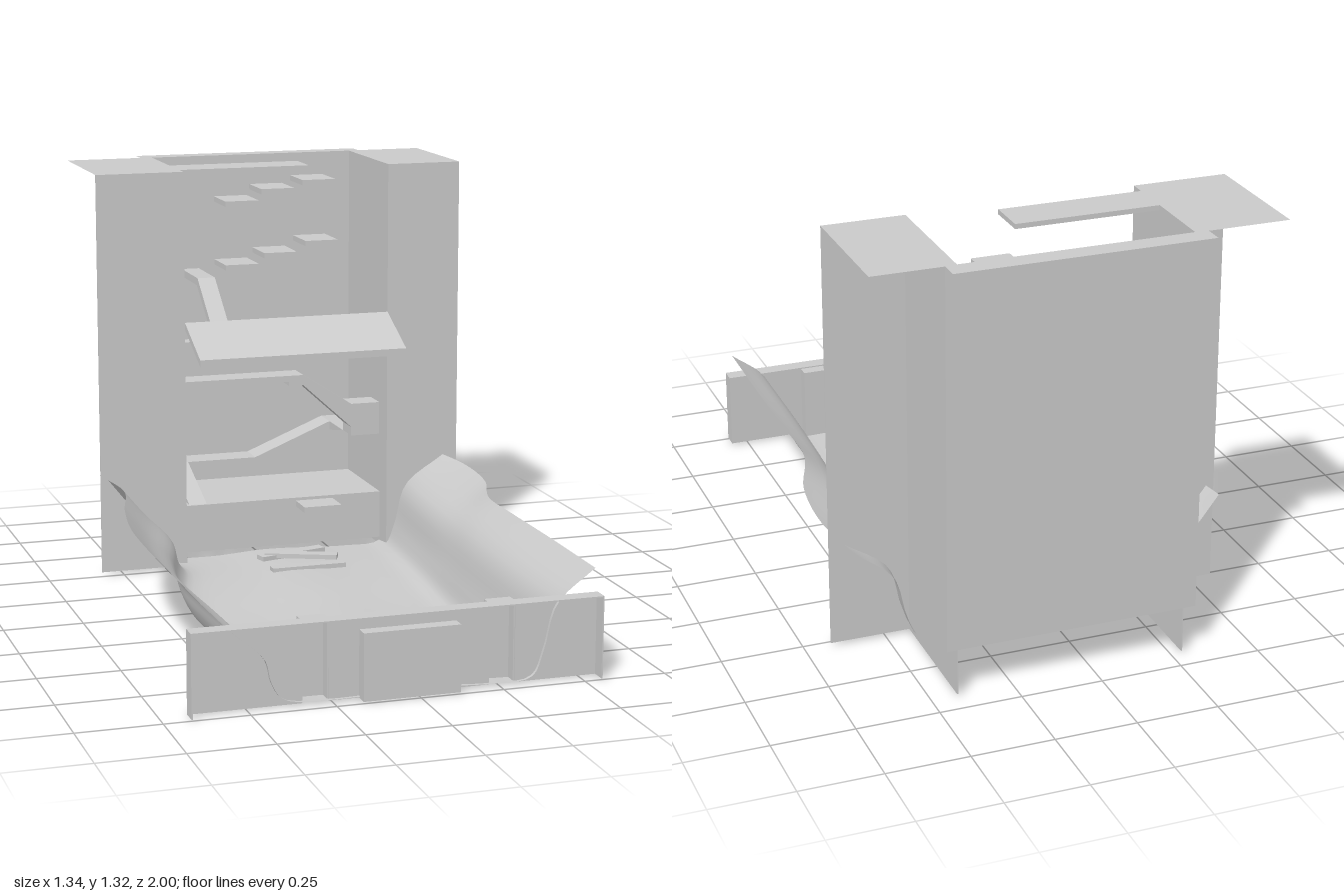
import * as THREE from 'three';

const grey = new THREE.MeshStandardMaterial({ color: 0xcacaca, side: THREE.DoubleSide });
grey.name = 'plain grey';

function add(parent, name, geometry) {
  const mesh = new THREE.Mesh(geometry, grey);
  mesh.name = name;
  parent.add(mesh);
  return mesh;
}

// Box given by its min and max on each axis
function box(parent, name, x0, x1, y0, y1, z0, z1) {
  const mesh = add(parent, name, new THREE.BoxGeometry(x1 - x0, y1 - y0, z1 - z0));
  mesh.position.set((x0 + x1) / 2, (y0 + y1) / 2, (z0 + z1) / 2);
  return mesh;
}

// Flat horizontal sheet
function sheet(parent, name, x0, x1, y, z0, z1) {
  const mesh = add(parent, name, new THREE.PlaneGeometry(x1 - x0, z1 - z0).rotateX(-Math.PI / 2));
  mesh.position.set((x0 + x1) / 2, y, (z0 + z1) / 2);
}

// Outline in x,y pushed along z
function slab(parent, name, points, z0, z1) {
  const shape = new THREE.Shape(points.map(p => new THREE.Vector2(...p)));
  const mesh = add(parent, name, new THREE.ExtrudeGeometry(shape, { depth: z1 - z0, bevelEnabled: false }));
  mesh.position.z = z0;
  return mesh;
}

// Outline in z,y pushed along x
function sideSlab(parent, name, points, x0, x1) {
  const mesh = slab(parent, name, points.map(([z, y]) => [-z, y]), 0, x1 - x0);
  mesh.rotation.y = Math.PI / 2;
  mesh.position.x = x0;
}

// Wavy open channel, lofted through cross-sections
function channel() {
  // z, left rim x, left foot x, right foot x, right rim x, floor height
  const stations = [
    [0.965, -0.63, -0.435, 0.385, 0.54, 0.015],
    [0.6, -0.63, -0.44, 0.39, 0.545, 0.012],
    [0.3, -0.63, -0.455, 0.40, 0.545, 0.008],
    [0.1, -0.62, -0.455, 0.41, 0.55, 0.012],
    [-0.12, -0.585, -0.42, 0.42, 0.62, 0.022],
    [-0.36, -0.53, -0.36, 0.435, 0.64, 0.025],
    [-0.595, -0.555, -0.395, 0.455, 0.61, 0.018],
  ];
  const sections = stations.map(([z, lt, lf, rf, rt, y]) => [
    [lt, 0.325], [(lt + lf) / 2 - 0.01, 0.235], [lf - 0.015, 0.15], [lf + 0.005, 0.08],
    [lf + 0.04, y + 0.015], [lf + 0.2, y], [0.02, y + 0.01], [rf - 0.16, y],
    [rf - 0.035, y + 0.01], [rf, 0.1], [rf + 0.04, 0.235], [rt, 0.332],
  ].map(([x, h]) => new THREE.Vector3(x, h, z)));
  const rails = sections[0].map((_, i) => new THREE.CatmullRomCurve3(sections.map(s => s[i])));
  const rows = 48, cols = 48, position = [], index = [];
  for (let r = 0; r <= rows; r++) {
    const across = new THREE.CatmullRomCurve3(rails.map(c => c.getPoint(r / rows)));
    for (let c = 0; c <= cols; c++) {
      const p = across.getPoint(c / cols);
      position.push(p.x, Math.max(p.y, 0), p.z);
      if (r < rows && c < cols) {
        const a = r * (cols + 1) + c, b = a + cols + 1;
        index.push(a, a + 1, b, a + 1, b + 1, b);
      }
    }
  }
  const g = new THREE.BufferGeometry();
  g.setAttribute('position', new THREE.Float32BufferAttribute(position, 3));
  g.setIndex(index);
  g.computeVertexNormals();
  return g;
}

// Front panel: recessed sheet with forward rim, raised block and two slots
function frontPanel(parent) {
  const panel = new THREE.Group();
  panel.name = 'frontPanel';
  parent.add(panel);
  const t = 0.004, z = 0.95;
  const sheets = [[-0.67, -0.34], [-0.26, -0.17], [0.12, 0.22], [0.30, 0.555]];
  for (const [a, b] of sheets) box(panel, 'panelSheet', a, b, 0.01, 0.256, z, z + t);
  box(panel, 'panelSheetOverBlock', -0.17, 0.12, 0.21, 0.256, z, z + t);
  box(panel, 'topRim', -0.67, 0.555, 0.252, 0.256, z, 1);
  for (const x of [-0.67, 0.555 - t]) box(panel, 'endRim', x, x + t, 0.01, 0.256, z, 1);
  // Block is hollow from behind
  box(panel, 'blockFace', -0.17, 0.12, 0.01, 0.21, 0.992, 0.996);
  box(panel, 'blockTop', -0.17, 0.12, 0.206, 0.21, z, 0.996);
  for (const x of [-0.17, 0.116]) box(panel, 'blockSide', x, x + t, 0.01, 0.21, z, 0.996);
  for (const x of [-0.34, 0.22]) {
    box(panel, 'slotBack', x, x + 0.08, 0.01, 0.252, 0.91, 0.914);
    box(panel, 'slotTop', x, x + 0.08, 0.248, 0.252, 0.91, z);
    for (const s of [x, x + 0.076]) box(panel, 'slotSide', s, s + t, 0.01, 0.252, 0.91, z);
  }
}

// Tower shell: front faces, inner walls and top sheets, open on the outside
function towerShell(parent) {
  const shell = new THREE.Group();
  shell.name = 'towerShell';
  parent.add(shell);
  const t = 0.004, top = 1.33;
  for (const [a, b] of [[-0.57, -0.28], [0.42, 0.67]]) {
    box(shell, 'columnFace', a, b, 0.015, top, -0.52 - t, -0.52);
    sheet(shell, 'columnTop', a, b, top, -0.94, -0.52);
  }
  box(shell, 'innerWallRight', -0.28 - t, -0.28, 0.015, top, -0.935, -0.52);
  box(shell, 'innerWallLeft', 0.42, 0.42 + t, 0.015, top, -0.935, -0.52);
  box(shell, 'backWall', -0.32, 0.455, 0.16, top, -0.94, -0.936);
  sheet(shell, 'backFlange', -0.32, 0.455, top, -1, -0.936);
  box(shell, 'topBridge', -0.28, 0.16, 1.315, top, -0.70, -0.57);
  // Sloping awning
  sideSlab(shell, 'awning', [[-0.52, 0.835], [-0.33, 0.745], [-0.33, 0.722], [-0.52, 0.812]], -0.28, 0.42);
}

// Ledges, ramps and steps inside the tower
function towerInside(parent) {
  const inside = new THREE.Group();
  inside.name = 'towerInside';
  parent.add(inside);
  const back = -0.936, ledge = -0.88;
  box(inside, 'lowerFloor', -0.28, 0.42, 0.16, 0.2, back, -0.59);
  box(inside, 'lowerFloorSkirt', -0.28, 0.42, 0.04, 0.16, -0.594, -0.59);
  // Back ledge that climbs to the left, reached by a side ramp
  slab(inside, 'lowerLedge', [
    [-0.28, 0.265], [0.32, 0.265], [0.32, 0.40], [0.05, 0.29], [-0.28, 0.29],
  ], back, -0.84);
  sideSlab(inside, 'lowerSideRamp', [
    [-0.6, 0.2], [-0.84, 0.29], [-0.84, 0.265], [-0.67, 0.2],
  ], -0.25, -0.19);
  // Middle walkway with a ramp down to the left
  slab(inside, 'middleWalkway', [
    [-0.28, 0.62], [0.15, 0.62], [0.32, 0.51], [0.42, 0.51], [0.42, 0.40], [0.32, 0.40],
    [0.32, 0.43], [0.15, 0.585], [0.1, 0.585], [0.1, 0.6], [-0.28, 0.6],
  ], -0.69, -0.6);
  sideSlab(inside, 'middlePost', [[-0.84, 0.70], [-0.88, 0.62], [back, 0.62], [back, 0.70]], -0.28, -0.235);
  // Undercut wedges along the left wall
  sideSlab(inside, 'lowerWedge', [[-0.69, 0.40], [back, 0.35], [back, 0.40]], 0.32, 0.42);
  sideSlab(inside, 'upperWedge', [[-0.7, 0.72], [back, 0.675], [back, 0.72]], 0.36, 0.42);
  // Upper ledge with teeth
  box(inside, 'upperLedge', -0.28, 0.36, 0.675, 0.70, back, ledge);
  for (const [a, b] of [[-0.11, -0.055], [0.005, 0.06], [0.12, 0.18], [0.18, 0.24], [0.295, 0.36]])
    box(inside, 'tooth', a, b, 0.70, 0.755, back, ledge);
  // Ramp towards the steps
  sideSlab(inside, 'upperSideRamp', [
    [-0.53, 0.79], [-0.73, 0.945], [back, 0.945], [back, 0.92], [-0.74, 0.92], [-0.53, 0.76],
  ], -0.18, -0.12);
  // Two flights of floating steps
  const steps = [
    [-0.08, 0.965], [0.055, 1.0], [0.2, 1.035],
    [-0.08, 1.18], [0.045, 1.217], [0.19, 1.242],
  ];
  for (const [x, y] of steps) box(inside, 'step', x, x + 0.115, y, y + 0.018, -0.88, -0.735);
}

// Loose planks at the tower foot and pebbles on the floor
function debris(parent) {
  const pile = new THREE.Group();
  pile.name = 'debris';
  parent.add(pile);
  box(pile, 'plank', -0.05, 0.2, 0.03, 0.045, -0.33, -0.29);
  box(pile, 'crossPlank', -0.06, 0.18, 0.04, 0.055, -0.47, -0.43).rotation.y = 0.25;
  box(pile, 'crossPlank', -0.04, 0.2, 0.045, 0.06, -0.42, -0.38).rotation.y = -0.4;
  box(pile, 'footBlock', 0.12, 0.25, 0.17, 0.19, -0.59, -0.49);
  for (const [x, y, z] of [[0, 0.025, 0.54], [0.015, 0.035, 0.52], [0, 0.045, 0.53]])
    box(pile, 'pebble', x - 0.007, x + 0.007, y - 0.007, y + 0.007, z - 0.006, z + 0.006);
}

export function createModel() {
  const model = new THREE.Group();
  model.name = 'towerAndChannel';
  add(model, 'channelBed', channel());
  frontPanel(model);
  towerShell(model);
  towerInside(model);
  debris(model);
  return model;
}
